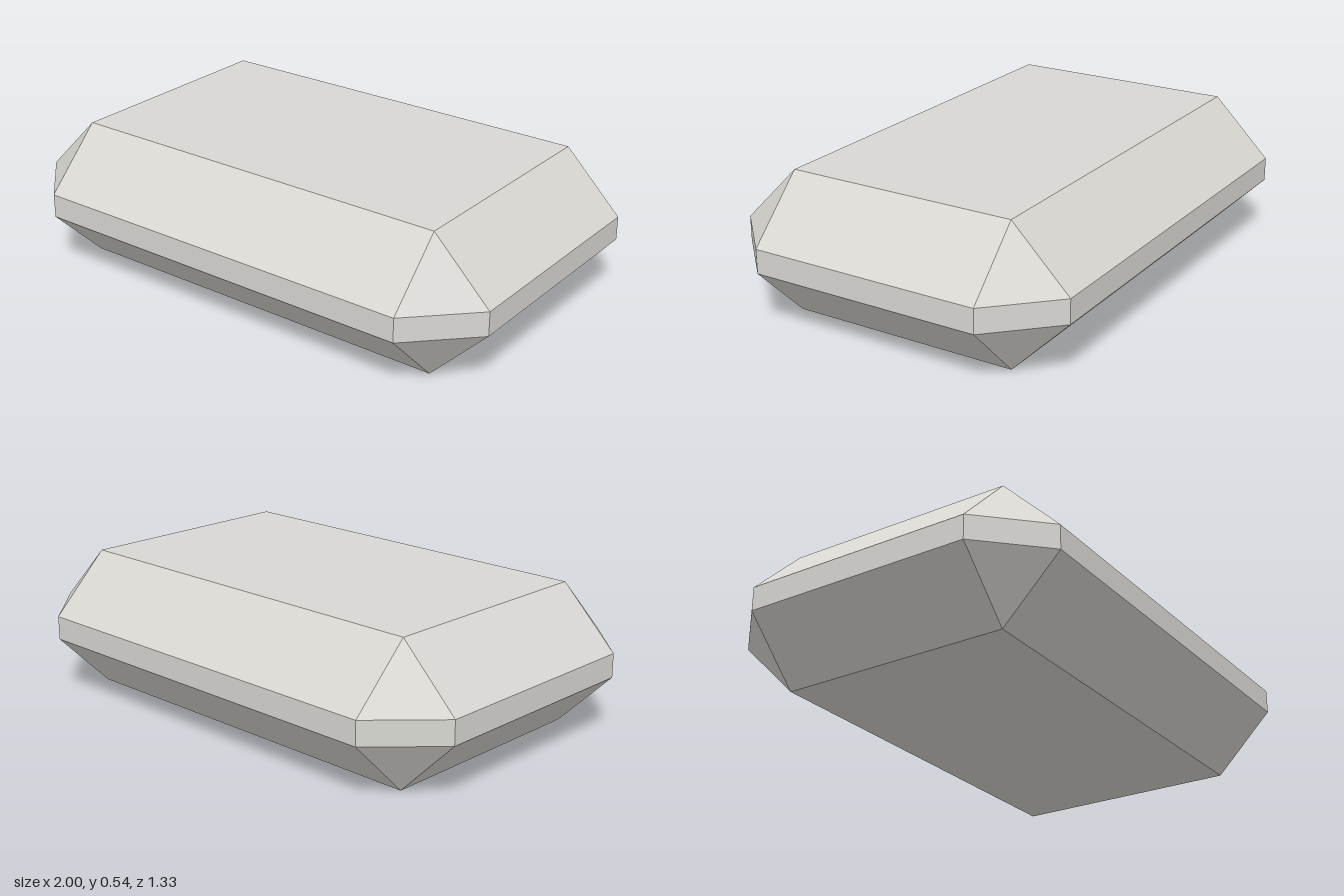
import * as THREE from 'three';
import { ConvexGeometry } from 'three/addons/geometries/ConvexGeometry.js';

// Box with every edge and corner cut off: each corner becomes three points,
// one on each of the faces that meet there.
function chamferedBox(width, height, depth, cut) {
  const x = width / 2, y = height / 2, z = depth / 2;
  const points = [];
  for (const sx of [-1, 1]) for (const sy of [-1, 1]) for (const sz of [-1, 1]) {
    points.push(
      new THREE.Vector3(sx * x, sy * (y - cut), sz * (z - cut)),
      new THREE.Vector3(sx * (x - cut), sy * y, sz * (z - cut)),
      new THREE.Vector3(sx * (x - cut), sy * (y - cut), sz * z)
    );
  }
  return new ConvexGeometry(points);
}

export function createModel() {
  const group = new THREE.Group();
  group.name = 'chamferedSlab';

  const stone = new THREE.MeshStandardMaterial({ color: 0xd8d7d2, flatShading: true });
  stone.name = 'pale stone';

  // Slab resting on the ground
  const height = 0.535;
  const slab = new THREE.Mesh(chamferedBox(2, height, 1.333, 0.222), stone);
  slab.name = 'slab';
  slab.position.y = height / 2;
  group.add(slab);

  return group;
}
